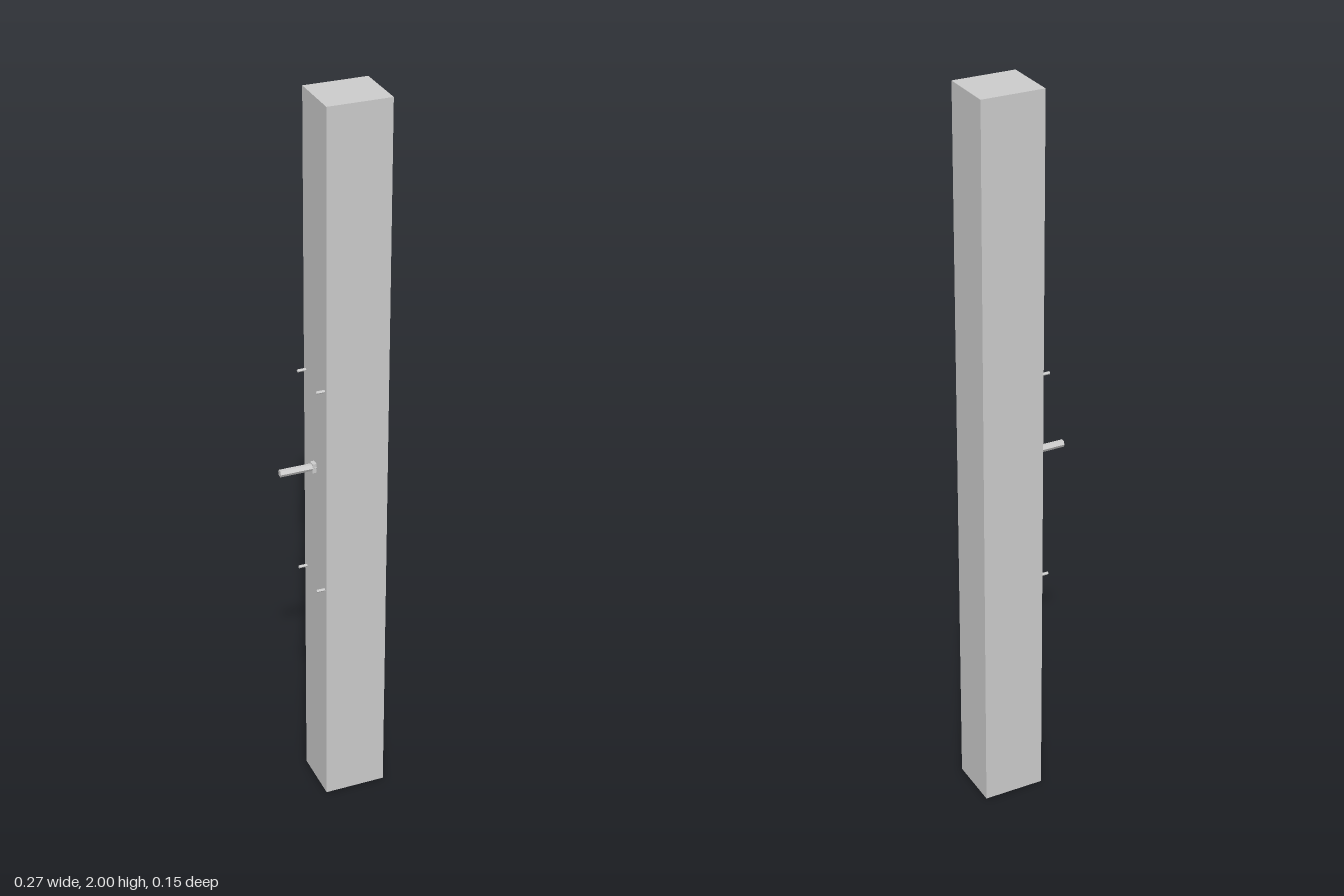
import * as THREE from 'three';

const material = new THREE.MeshStandardMaterial({ color: 0xcccccc, flatShading: true });

function add(group, name, geometry, x, y, z) {
  const mesh = new THREE.Mesh(geometry, material);
  mesh.name = name;
  mesh.position.set(x, y, z);
  group.add(mesh);
}

// Hexagonal rod lying along x, with corners pointing to +z and -z
function hexRod(radius, length) {
  return new THREE.CylinderGeometry(radius, radius, length, 6).rotateZ(Math.PI / 2);
}

export function createModel() {
  const group = new THREE.Group();
  const face = -0.036; // x of the side that carries the fittings

  // Tall square body
  add(group, 'body', new THREE.BoxGeometry(0.169, 2, 0.151), face + 0.0845, 1, 0);

  // Central shaft and the collar at its root
  add(group, 'shaft', hexRod(0.01, 0.098), face - 0.049, 1.003, 0);
  add(group, 'shaftCollar', new THREE.BoxGeometry(0.011, 0.026, 0.018), face - 0.0055, 1.002, 0);

  // Four small mounting pegs
  for (const y of [0.664, 1.252]) {
    for (const z of [-0.063, 0.063]) {
      add(group, 'mountingPeg', hexRod(0.004, 0.023), face - 0.0115, y, z);
    }
  }
  return group;
}
